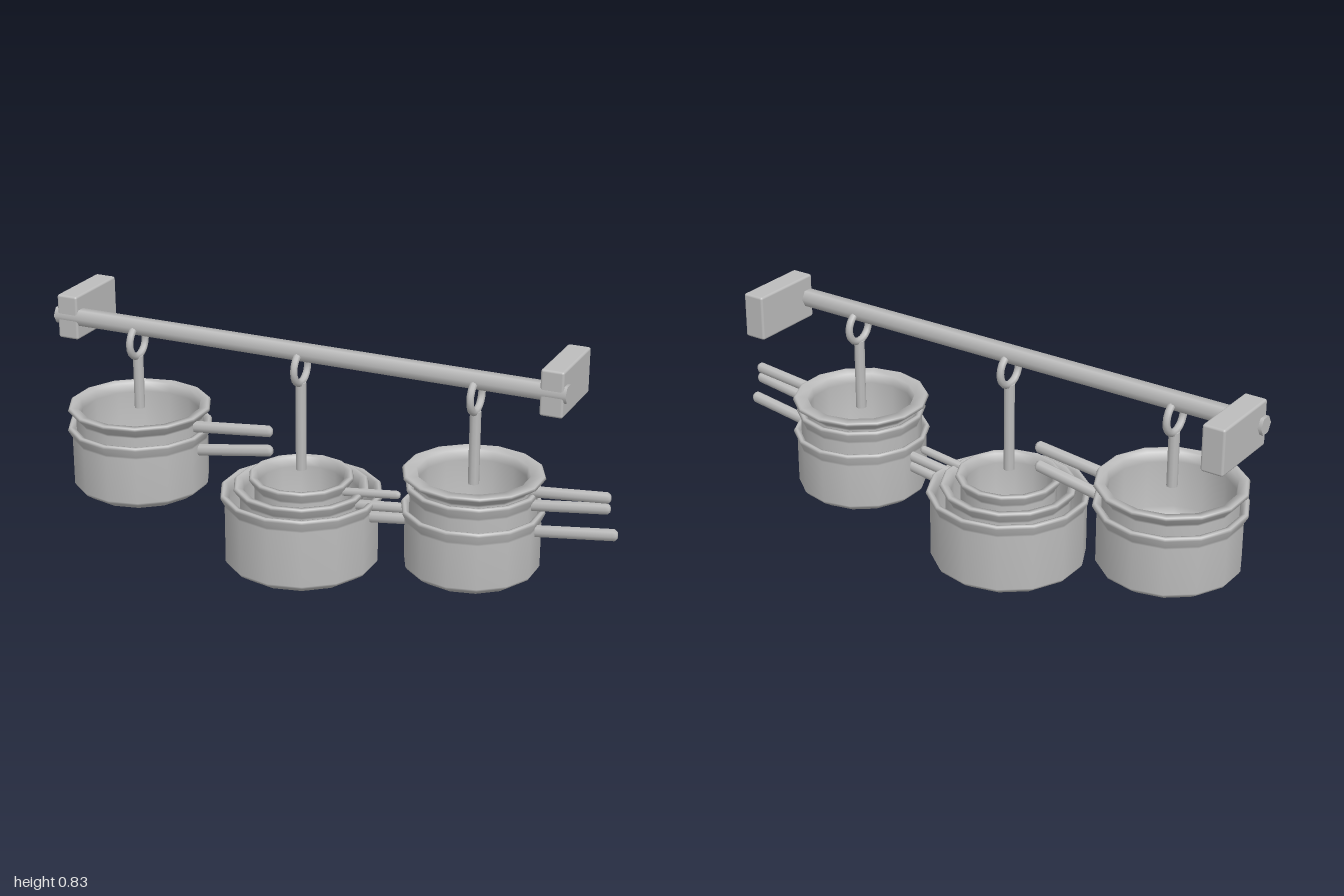
import * as THREE from 'three';
import { RoundedBoxGeometry } from 'three/addons/geometries/RoundedBoxGeometry.js';

export function createModel() {
  const root = new THREE.Group();
  root.name = 'hangingPotRack';
  const metal = new THREE.MeshStandardMaterial({ color: 0xbcbcbc });
  metal.name = 'brushed grey metal';

  function add(parent, name, geometry, x = 0, y = 0, z = 0) {
    const mesh = new THREE.Mesh(geometry, metal);
    mesh.name = name;
    mesh.position.set(x, y, z);
    parent.add(mesh);
    return mesh;
  }
  const lathe = (points, sides) =>
    new THREE.LatheGeometry(points.map(([r, y]) => new THREE.Vector2(r, y)), sides);

  // Hexagonal rail and its two wall brackets
  add(root, 'rail', new THREE.CylinderGeometry(0.031, 0.031, 1.815, 6).rotateZ(Math.PI / 2), -0.0925, 0.75, 0);
  for (const [name, x] of [['rightBracket', -0.95], ['leftBracket', 0.768]]) {
    add(root, name, new RoundedBoxGeometry(0.076, 0.152, 0.26, 2, 0.008), x, 0.75, -0.105);
  }

  // Hollow pot: body radius r, flared rim radius rim, from bottom to top
  function pot(parent, name, bottom, top, r, rim, wall = 0.014) {
    const inner = r - wall;
    add(parent, name, lathe([
      [0, bottom], [r - 0.048, bottom], [r - 0.04, bottom + 0.001],
      [r - 0.006, bottom + 0.024], [r, bottom + 0.034], [r, top - 0.044],
      [r - 0.001, top - 0.038], [rim, top - 0.01], [rim - 0.004, top - 0.002], [rim - 0.01, top],
      [inner + 0.006, top - 0.004], [inner, top - 0.036], [inner, bottom + 0.045],
      [inner - 0.03, bottom + 0.016], [inner - 0.04, bottom + 0.014], [0, bottom + 0.014],
    ], 14));
  }

  // Round-ended handle between two points in the group's local x/y plane
  function handle(parent, name, x0, y0, x1, y1, r) {
    const length = Math.hypot(x1 - x0, y1 - y0);
    const mesh = add(parent, name, lathe([
      [0, 0], [r, 0], [r, length - 0.012], [r * 0.6, length - 0.002], [0, length],
    ], 8), x0, y0, 0);
    mesh.rotation.z = Math.atan2(y1 - y0, x1 - x0) - Math.PI / 2;
    mesh.scale.x = 1.15;
  }

  // Each stack: pots [bottom, top, body radius, rim radius], handles [x0, y0, x1, y1, radius]
  const stacks = [
    {
      name: 'rightStack', x: -0.695, rodEnd: 0.46,
      pots: [[0.17, 0.407, 0.232, 0.247], [0.235, 0.476, 0.217, 0.244]],
      handles: [[0.21, 0.34, 0.5, 0.387, 0.018], [0.21, 0.424, 0.5, 0.455, 0.018]],
    },
    {
      name: 'middleStack', x: -0.09, rodEnd: 0.34,
      pots: [[0, 0.271, 0.259, 0.273], [0.05, 0.293, 0.208, 0.228], [0.1, 0.326, 0.158, 0.176]],
      handles: [[0.24, 0.215, 0.41, 0.238, 0.018], [0.2, 0.25, 0.41, 0.274, 0.016], [0.15, 0.287, 0.355, 0.312, 0.013]],
    },
    {
      name: 'leftStack', x: 0.515, rodEnd: 0.4,
      pots: [[0.098, 0.326, 0.22, 0.232], [0.17, 0.404, 0.205, 0.219], [0.21, 0.444, 0.19, 0.23]],
      handles: [[0.2, 0.273, 0.48, 0.312, 0.018], [0.19, 0.36, 0.452, 0.396, 0.017], [0.19, 0.407, 0.452, 0.432, 0.017]],
    },
  ];

  for (const { name, x, rodEnd, pots, handles } of stacks) {
    const stack = new THREE.Group();
    stack.name = name;
    stack.position.x = x;
    root.add(stack);

    // Hook: ring around the rail with a straight rod below
    add(stack, 'hookRing', new THREE.TorusGeometry(0.052, 0.0125, 8, 20).rotateY(Math.PI / 2), 0, 0.696, 0);
    add(stack, 'hookRod', new THREE.CylinderGeometry(0.018, 0.018, 0.645 - rodEnd, 10), 0, (0.645 + rodEnd) / 2, 0);

    pots.forEach((p, i) => pot(stack, `pot${i + 1}`, ...p));
    handles.forEach((h, i) => handle(stack, `handle${i + 1}`, ...h));
  }
  return root;
}
